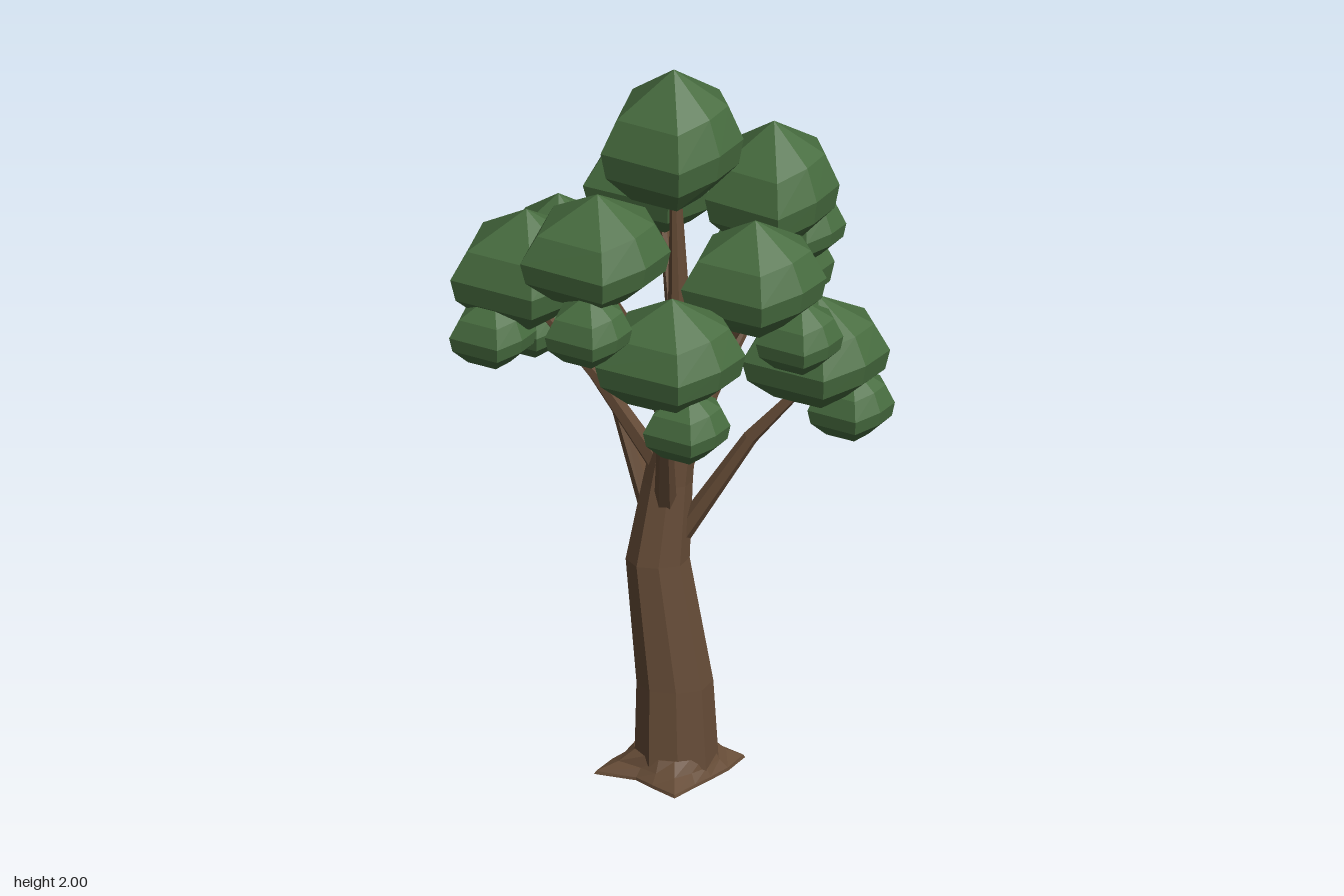
import * as THREE from 'three';

const V = (x, y, z) => new THREE.Vector3(x, y, z);
const bark = new THREE.MeshStandardMaterial({ color: 0x664c37, flatShading: true });
const leaf = new THREE.MeshStandardMaterial({ color: 0x476c3f, flatShading: true });

// skin a stack of rings (bottom to top), closed by a fan at each end
function loft(rings, bottom, top) {
  const n = rings[0].length, index = [];
  const points = [...rings.flat(), bottom, top];
  const b = points.length - 2, t = b + 1, last = (rings.length - 1) * n;
  for (let j = 0; j < n; j++) {
    const k = (j + 1) % n;
    for (let i = 0; i < rings.length - 1; i++) {
      const p = i * n, q = p + n;
      index.push(p + j, q + j, p + k, q + j, q + k, p + k);
    }
    index.push(b, j, k, t, last + k, last + j);
  }
  const indexed = new THREE.BufferGeometry().setFromPoints(points);
  indexed.setIndex(index);
  const geo = indexed.toNonIndexed();
  geo.computeVertexNormals();
  return geo;
}

function add(group, name, geo, mat) {
  const mesh = new THREE.Mesh(geo, mat);
  mesh.name = name;
  group.add(mesh);
}

// tapering limb through points
function limb(path, radii, sides) {
  const rings = path.map((p, i) => {
    const dir = path[Math.min(i + 1, path.length - 1)].clone().sub(path[Math.max(i - 1, 0)]).normalize();
    const v = V(1, 0, 0).cross(dir).normalize();
    const u = dir.clone().cross(v).normalize();
    return Array.from({ length: sides }, (_, j) => {
      const a = (j / sides) * Math.PI * 2;
      return p.clone().addScaledVector(u, Math.cos(a) * radii[i]).addScaledVector(v, Math.sin(a) * radii[i]);
    });
  });
  return loft(rings, path[0], path[path.length - 1]);
}

// faceted leaf clump: lopsided outline (x, z, lift), pointed crown, flattened underside
const outline = [[1, 0, 0.05], [0.73, 0.55, 0], [0.2, 1, -0.12], [-1, 0.4, -0.14],
  [-0.84, -0.62, 0], [0.02, -1, 0.06], [0.75, -0.66, 0.06]];
const profile = [[0.58, -0.88], [0.93, -0.5], [1, -0.1], [0.78, 0.42]]; // spread, height
function clump(c, rx, ry, rz) {
  const rings = profile.map(([s, h]) => outline.map(([x, z, lift]) =>
    V(c.x + x * s * rx, c.y + (h + lift) * ry, c.z + z * s * rz)));
  return loft(rings, V(c.x, c.y - ry, c.z), V(c.x, c.y + ry, c.z));
}

export function createModel() {
  const tree = new THREE.Group();
  tree.name = 'tree';

  // bent trunk: x, y, z, radius
  const spine = [
    [0.005, 0.02, -0.03, 0.112], [0, 0.25, -0.035, 0.102], [-0.045, 0.6, -0.035, 0.085],
    [-0.02, 0.82, -0.045, 0.067], [0.012, 1.05, -0.045, 0.051],
    [0.01, 1.3, -0.05, 0.03], [0, 1.72, -0.045, 0.012],
  ];
  const trunkRings = spine.map(([x, y, z, r]) => Array.from({ length: 9 }, (_, j) => {
    const a = (j / 9) * Math.PI * 2, s = r * (1 + 0.05 * Math.sin(j * 2.4));
    return V(x + Math.cos(a) * s, y, z + Math.sin(a) * s);
  }));
  add(tree, 'trunk', loft(trunkRings, V(0, 0.02, -0.03), V(0, 1.74, -0.045)), bark);

  // spreading roots: angle in degrees, reach
  const star = [[-22, 0.19], [5, 0.145], [35, 0.13], [60, 0.145], [82, 0.2], [105, 0.15], [130, 0.135],
    [158, 0.215], [180, 0.165], [205, 0.14], [240, 0.225], [262, 0.165], [285, 0.15], [315, 0.155]];
  const rootRings = [[1, 0], [0.95, 0.008], [0.4, 0.03], [0, 0.06]].map(([k, y]) =>
    star.map(([deg, reach]) => {
      const a = THREE.MathUtils.degToRad(deg), r = THREE.MathUtils.lerp(0.105, reach, k);
      return V(Math.cos(a) * r, y, -0.03 + Math.sin(a) * r);
    }));
  add(tree, 'roots', loft(rootRings, V(0, 0, -0.03), V(0, 0.06, -0.03)), bark);

  add(tree, 'crownClump', clump(V(-0.003, 1.82, -0.047), 0.183, 0.18, 0.175), leaf);

  // each bough: large clump, its radii, small clump, branch root and elbow
  const boughs = [
    { big: [0.25, 1.67, -0.117], r: [0.172, 0.165, 0.177], small: [0.315, 1.51, -0.21], from: [0.02, 1.1, -0.05], bend: [0.12, 1.35, -0.09] },
    { big: [-0.16, 1.64, 0.277], r: [0.193, 0.145, 0.182], small: [-0.165, 1.46, 0.39], from: [-0.01, 0.98, -0.02], bend: [-0.06, 1.25, 0.1] },
    { big: [0.237, 1.525, 0.145], r: [0.187, 0.147, 0.158], small: [0.355, 1.355, 0.14], from: [0.02, 0.95, -0.03], bend: [0.1, 1.18, 0.03] },
    { big: [-0.072, 1.585, -0.31], r: [0.197, 0.14, 0.162], small: [-0.18, 1.37, -0.36], from: [0.01, 1.0, -0.07], bend: [-0.02, 1.25, -0.16] },
    { big: [-0.38, 1.46, 0.03], r: [0.19, 0.15, 0.172], small: [-0.455, 1.3, 0.1], from: [-0.04, 0.86, -0.04], bend: [-0.2, 1.13, 0] },
    { big: [-0.342, 1.345, -0.31], r: [0.15, 0.15, 0.167], small: [-0.41, 1.13, -0.33], from: [-0.06, 0.7, -0.06], bend: [-0.175, 1.0, -0.17] },
    { big: [0.207, 1.36, -0.295], r: [0.178, 0.145, 0.165], small: [0.215, 1.24, -0.39], from: [0, 0.8, -0.07], bend: [0.08, 1.02, -0.16] },
    { big: [0.04, 1.365, 0.305], r: [0.193, 0.145, 0.165], small: [0.09, 1.19, 0.37], from: [-0.02, 0.76, -0.01], bend: [0, 1.05, 0.15] },
    { big: [0.377, 1.245, -0.025], r: [0.19, 0.14, 0.167], small: [0.46, 1.065, -0.08], from: [0, 0.64, -0.04], bend: [0.2, 0.96, -0.03] },
  ];
  boughs.forEach(({ big, r, small, from, bend }) => {
    const bough = new THREE.Group();
    bough.name = 'bough';
    const end = V(big[0], big[1] - r[1] * 0.6, big[2]);
    add(bough, 'branch', limb([V(...from), V(...bend), end], [0.03, 0.02, 0.01], 6), bark);
    add(bough, 'largeClump', clump(V(...big), ...r), leaf);
    add(bough, 'smallClump', clump(V(...small), 0.112, 0.095, 0.104), leaf);
    tree.add(bough);
  });
  return tree;
}
